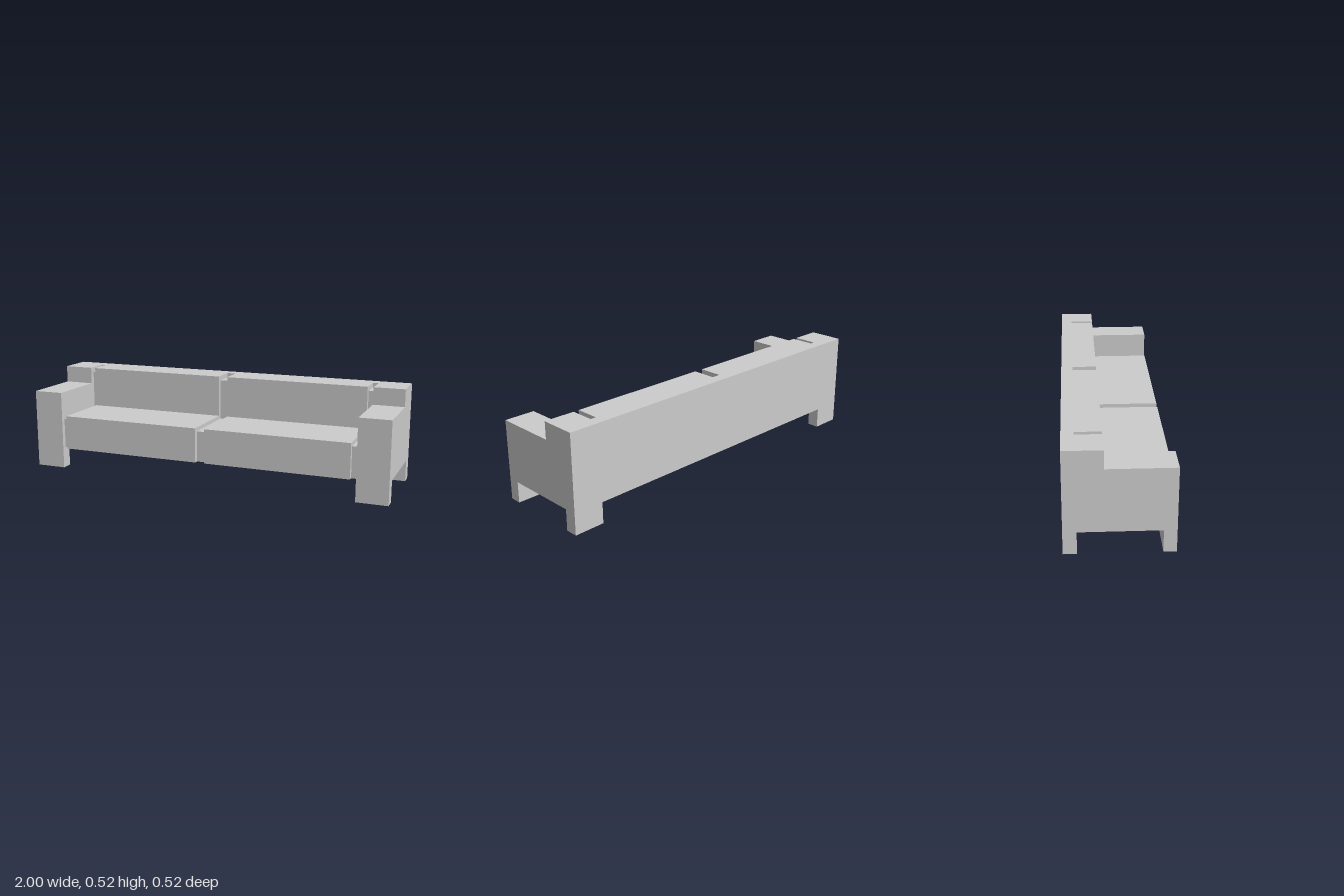
import * as THREE from 'three';

const BASE = 0.113, BACK = -0.26, FRONT = 0.26, TOP = 0.52;

// Side outlines as [z, y] corners, extruded across the width of the sofa.
const armOutline = [
  [BACK, 0], [-0.195, 0], [-0.195, BASE], [0.198, BASE], [0.198, 0], [FRONT, 0],
  [FRONT, 0.428], [-0.072, 0.428], [-0.072, TOP], [BACK, TOP],
];
const cushionOutline = [
  [BACK, BASE], [FRONT, BASE], [FRONT, 0.298], [-0.072, 0.298], [-0.072, TOP], [BACK, TOP],
];
const grooveOutline = [
  [BACK, BASE], [0.236, BASE], [0.236, 0.277], [-0.098, 0.277],
  [-0.098, 0.495], [-0.2, 0.495], [-0.2, TOP], [BACK, TOP],
];

export function createModel() {
  const sofa = new THREE.Group();
  sofa.name = 'sofa';
  const material = new THREE.MeshStandardMaterial({ color: 0xcccccc, flatShading: true });

  // Extrudes a side outline from x0 to x1.
  function section(name, outline, x0, x1) {
    const shape = new THREE.Shape(outline.map(([z, y]) => new THREE.Vector2(z, y)));
    const geometry = new THREE.ExtrudeGeometry(shape, { depth: x1 - x0, bevelEnabled: false });
    geometry.rotateY(-Math.PI / 2).translate(x1, 0, 0);
    const mesh = new THREE.Mesh(geometry, material);
    mesh.name = name;
    sofa.add(mesh);
  }

  // Arms with their legs
  section('rightArm', armOutline, -1, -0.835);
  section('leftArm', armOutline, 0.835, 1);

  // Seat and backrest of each place
  section('rightSeat', cushionOutline, -0.808, -0.025);
  section('leftSeat', cushionOutline, 0.025, 0.805);

  // Recessed frame showing between the cushions
  section('rightGroove', grooveOutline, -0.835, -0.808);
  section('middleGroove', grooveOutline, -0.025, 0.025);
  section('leftGroove', grooveOutline, 0.805, 0.835);

  return sofa;
}
